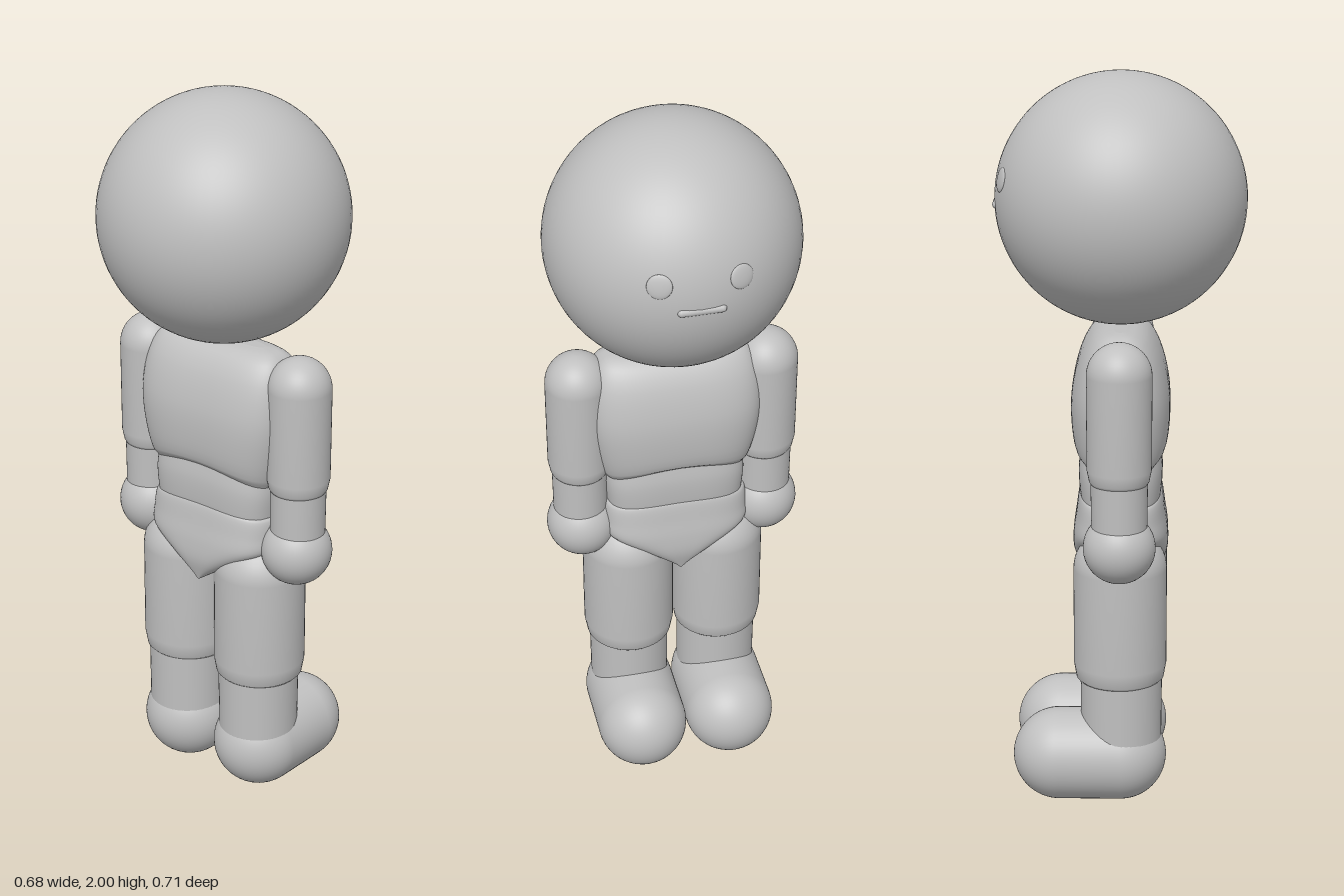
import * as THREE from 'three';

const skin = new THREE.MeshStandardMaterial({ color: 0xc0c0c0 });
skin.name = 'plain grey';

function add(parent, name, geometry, x = 0, y = 0, z = 0) {
  const mesh = new THREE.Mesh(geometry, skin);
  mesh.name = name;
  mesh.position.set(x, y, z);
  parent.add(mesh);
  return mesh;
}

// Round limb from [radius, y] points, bottom to top
function limb(points) {
  return new THREE.LatheGeometry(points.map(([r, y]) => new THREE.Vector2(r, y)), 48);
}

// Quarter-round dome points closing a limb at the top
function dome(r, y, h) {
  return Array.from({ length: 13 }, (_, i) => {
    const a = (i / 12) * Math.PI / 2;
    return [i === 12 ? 0 : r * Math.cos(a), y + h * Math.sin(a)];
  });
}

// Body block lofted through rounded-rectangle rings [y, half depth, half width, arch]
function loft(rings, power = 3.2, sides = 72, steps = 28) {
  const curve = (k) => new THREE.CatmullRomCurve3(
    rings.map((r) => new THREE.Vector3(r[0], r[k], 0)), false, 'centripetal');
  const depth = curve(1), width = curve(2), arch = curve(3);
  const pos = [], index = [];
  const ring = (y, hx, hz, a) => {
    for (let j = 0; j < sides; j++) {
      const t = (j / sides) * Math.PI * 2;
      const c = Math.cos(t), s = Math.sin(t);
      const u = Math.sign(c) * Math.abs(c) ** (2 / power);
      const v = Math.sign(s) * Math.abs(s) ** (2 / power);
      pos.push(u * hx, y + a * (1 - v * v), v * hz);
    }
  };
  for (let i = 0; i <= steps; i++) {
    const t = i / steps, d = depth.getPoint(t);
    ring(d.x, d.y, width.getPoint(t).y, arch.getPoint(t).y);
  }
  for (let i = 0; i < steps; i++) {
    for (let j = 0; j < sides; j++) {
      const k = (j + 1) % sides;
      const a = i * sides + j, b = i * sides + k;
      index.push(a, a + sides, b, b, a + sides, b + sides);
    }
  }
  // End caps with their own vertices so the rims stay crisp
  for (const top of [false, true]) {
    const [y, hx, hz, a] = rings[top ? rings.length - 1 : 0];
    const start = pos.length / 3;
    ring(y, hx, hz, a);
    const centre = pos.length / 3;
    pos.push(0, y + a, 0);
    for (let j = 0; j < sides; j++) {
      const p = start + j, q = start + (j + 1) % sides;
      if (top) index.push(centre, q, p);
      else index.push(centre, p, q);
    }
  }
  const g = new THREE.BufferGeometry();
  g.setAttribute('position', new THREE.Float32BufferAttribute(pos, 3));
  g.setIndex(index);
  g.computeVertexNormals();
  return g;
}

export function createModel() {
  const model = new THREE.Group();
  model.name = 'roundHeadedFigure';

  // Head and face, looking along +x
  const headY = 1.663, headR = 0.337;
  add(model, 'head', new THREE.SphereGeometry(headR, 64, 48), 0, headY, 0);
  for (const s of [1, -1]) {
    const dir = new THREE.Vector3(0.314, 0.065, s * 0.105).normalize();
    const eye = add(model, s > 0 ? 'rightEye' : 'leftEye', new THREE.SphereGeometry(0.033, 24, 16));
    eye.position.copy(dir).multiplyScalar(headR - 0.002).add(new THREE.Vector3(0, headY, 0));
    eye.quaternion.setFromUnitVectors(new THREE.Vector3(0, 0, 1), dir);
    eye.scale.z = 0.22;
  }
  const mouth = add(model, 'mouth', new THREE.CapsuleGeometry(0.011, 0.104, 8, 16), 0.329, 1.653, 0);
  mouth.rotation.x = Math.PI / 2;

  // Chest, waist and hips
  add(model, 'chest', loft([
    [0.945, 0.108, 0.195, 0.04], [0.97, 0.122, 0.207, 0.03], [1.08, 0.134, 0.232, 0],
    [1.16, 0.131, 0.238, 0], [1.25, 0.108, 0.228, 0], [1.3, 0.078, 0.207, 0],
    [1.32, 0.05, 0.18, 0], [1.327, 0.02, 0.14, 0],
  ]));
  add(model, 'waist', loft([
    [0.82, 0.106, 0.185, 0.02], [0.86, 0.112, 0.19, 0.02], [0.92, 0.114, 0.194, 0.02],
    [0.98, 0.106, 0.187, 0.02],
  ]));
  add(model, 'hips', loft([
    [0.638, 0.112, 0.008, 0], [0.7, 0.129, 0.115, 0], [0.755, 0.129, 0.2, 0],
    [0.8, 0.122, 0.202, 0.005], [0.845, 0.112, 0.197, 0.02], [0.853, 0.104, 0.19, 0.02],
  ]));

  // Arms and legs, one set per side
  for (const s of [1, -1]) {
    const side = s > 0 ? 'right' : 'left';
    const armZ = s * 0.259;
    add(model, side + 'UpperArm',
      limb([[0, 0.945], [0.074, 0.945], [0.08, 0.955], [0.086, 0.985], ...dome(0.087, 1.24, 0.088)]), 0, 0, armZ);
    add(model, side + 'Forearm', new THREE.CylinderGeometry(0.076, 0.074, 0.19, 48), 0, 0.875, armZ);
    add(model, side + 'Hand', new THREE.SphereGeometry(0.097, 40, 28), 0, 0.768, s * 0.256);

    const legZ = s * 0.128;
    add(model, side + 'Thigh',
      limb([[0, 0.352], [0.112, 0.352], [0.12, 0.36], [0.127, 0.4], ...dome(0.127, 0.67, 0.115)]), 0, 0, legZ);
    add(model, side + 'Shin', new THREE.CylinderGeometry(0.112, 0.11, 0.26, 48), -0.003, 0.245, legZ);
    const foot = add(model, side + 'Foot', new THREE.CapsuleGeometry(0.127, 0.168, 16, 48), 0.084, 0.127, legZ);
    foot.rotation.z = Math.PI / 2;
  }
  return model;
}
